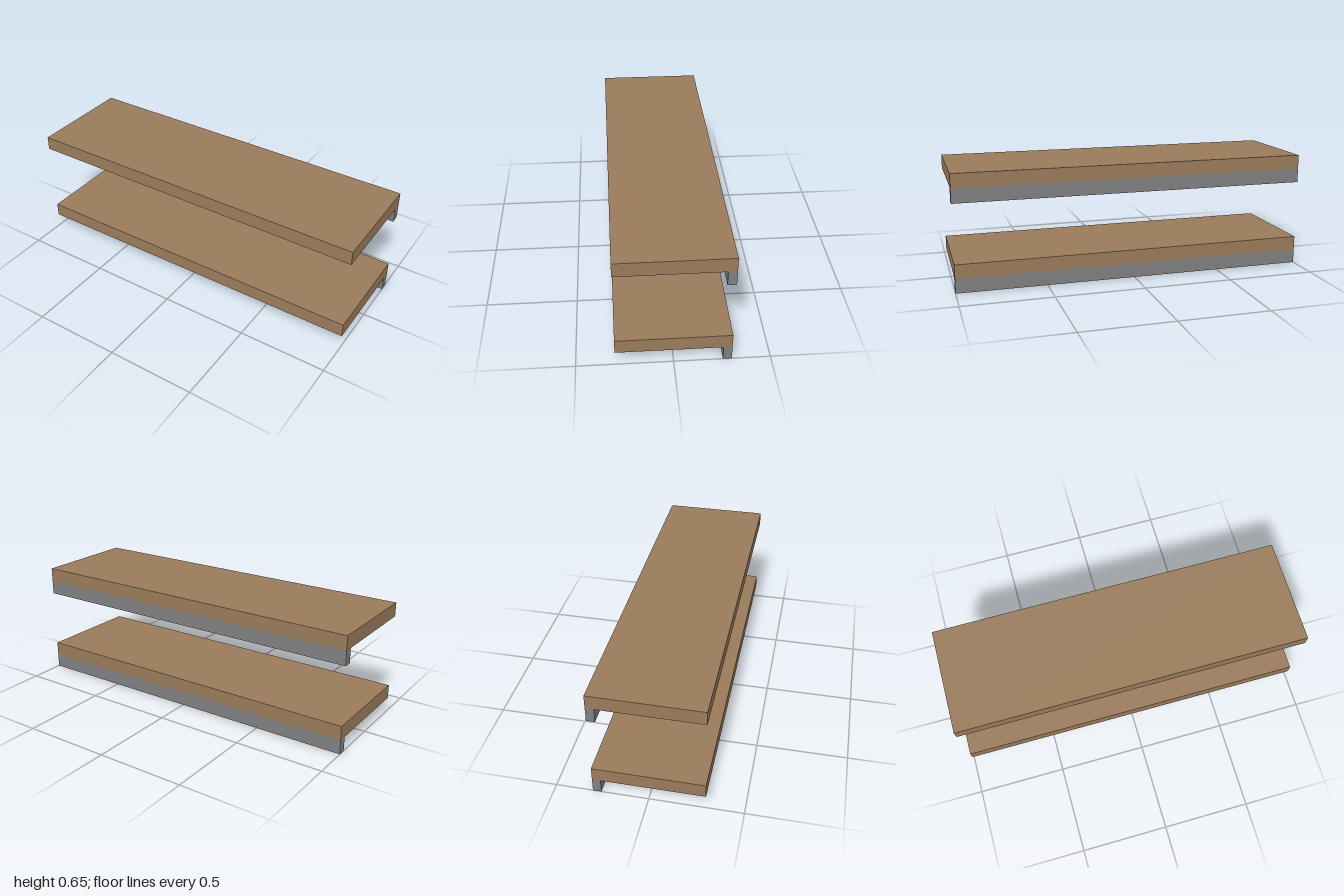
import * as THREE from 'three';

const WIDTH = 2;
const DEPTH = 0.6;
const BOARD_H = 0.079;
const RAIL_H = 0.081;
const RAIL_D = 0.046;

export function createModel() {
  const model = new THREE.Group();
  model.name = 'wallShelves';

  const wood = new THREE.MeshStandardMaterial({ color: 0x9a7b5b });
  const metal = new THREE.MeshStandardMaterial({ color: 0x808080 });
  const boardGeometry = new THREE.BoxGeometry(WIDTH, BOARD_H, DEPTH);
  const railGeometry = new THREE.BoxGeometry(WIDTH, RAIL_H, RAIL_D);

  // One shelf: a thick board resting on a rail along its back edge
  function addShelf(name, y) {
    const shelf = new THREE.Group();
    shelf.name = name;
    shelf.position.y = y;

    const board = new THREE.Mesh(boardGeometry, wood);
    board.name = 'board';
    board.position.y = RAIL_H + BOARD_H / 2;

    const rail = new THREE.Mesh(railGeometry, metal);
    rail.name = 'backRail';
    rail.position.set(0, RAIL_H / 2, -DEPTH / 2 + RAIL_D / 2);

    shelf.add(board, rail);
    model.add(shelf);
  }

  addShelf('lowerShelf', 0);
  addShelf('upperShelf', 0.492);

  return model;
}
